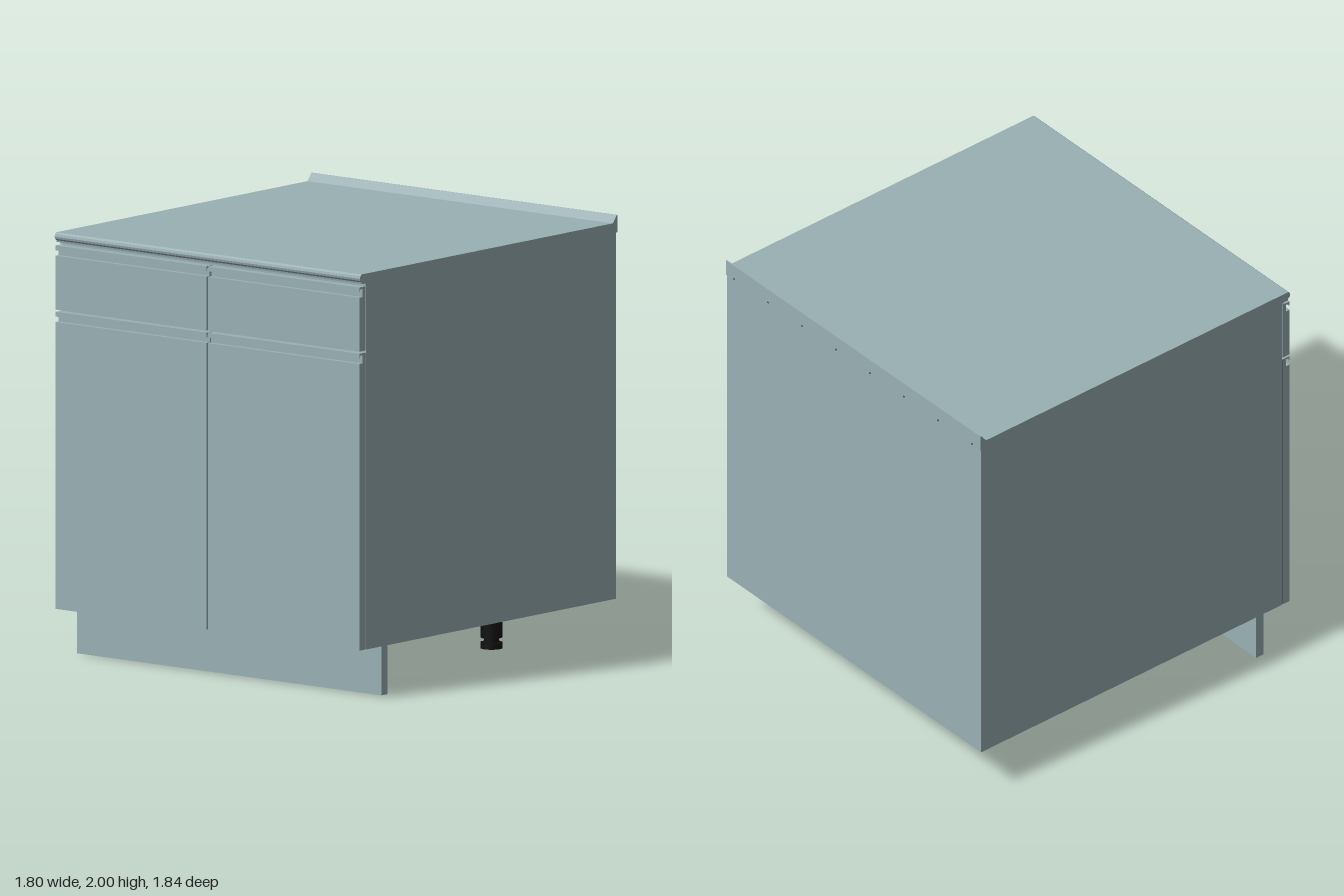
import * as THREE from 'three';

export function createModel() {
  const model = new THREE.Group();
  const steel = new THREE.MeshStandardMaterial({ name: 'blue grey steel', color: 0x9ab0b4 });
  const black = new THREE.MeshStandardMaterial({ name: 'black plastic', color: 0x111111 });
  const red = new THREE.MeshStandardMaterial({ name: 'dull red seal', color: 0x80565c });

  const add = (name, geometry, material, parent = model) => {
    const mesh = new THREE.Mesh(geometry, material);
    mesh.name = name;
    parent.add(mesh);
    return mesh;
  };

  const box = (name, x0, x1, y0, y1, z0, z1, material) =>
    add(name, new THREE.BoxGeometry(x1 - x0, y1 - y0, z1 - z0), material)
      .position.set((x0 + x1) / 2, (y0 + y1) / 2, (z0 + z1) / 2);

  // Sweep a side profile of [z, y] points across the width from x0 to x1
  const sweep = (name, profile, x0, x1) => {
    const shape = new THREE.Shape(profile.map(([z, y]) => new THREE.Vector2(z, y)));
    const geometry = new THREE.ExtrudeGeometry(shape, { depth: x1 - x0, bevelEnabled: false });
    geometry.rotateY(-Math.PI / 2).translate(x1, 0, 0);
    return add(name, geometry, steel);
  };

  // Cabinet body and the seal behind the doors
  box('cabinetBody', -0.897, 0.897, 0.23, 1.93, -0.915, 0.873, steel);
  box('doorSeal', -0.894, 0.894, 0.232, 1.598, 0.872, 0.879, red);

  // Worktop with a rounded nose and a chamfered upstand at the back
  sweep('worktop', [
    [-0.92, 1.92], [0.875, 1.92], [0.875, 1.91], [0.88, 1.91], [0.88, 1.92],
    [0.905, 1.92], [0.907, 1.928], [0.917, 1.936], [0.92, 1.946],
    [0.917, 1.957], [0.908, 1.965], [-0.888, 1.965], [-0.915, 2], [-0.92, 2],
  ], -0.9, 0.9);

  // Fronts with a finger groove and a hooked lip along the top
  const front = (name, x0, x1, y0, y1) => sweep(name, [
    [0.878, y0], [0.92, y0], [0.92, y1 - 0.047], [0.897, y1 - 0.047],
    [0.897, y1 - 0.01], [0.914, y1 - 0.01], [0.914, y1 - 0.022],
    [0.92, y1 - 0.022], [0.92, y1], [0.878, y1],
  ], x0, x1);

  for (const [side, s] of [['left', 1], ['right', -1]]) {
    const span = (inner) => [s * inner, s * 0.896].sort((a, b) => a - b);
    front(side + 'Door', ...span(0.003), 0.23, 1.6);
    front(side + 'Drawer', ...span(0.005), 1.61, 1.906);
  }
  // Drawer backs meeting the body
  box('drawerBacking', -0.893, 0.893, 1.612, 1.904, 0.872, 0.88, steel);

  // Plinth board
  box('plinth', -0.897, 0.897, 0.004, 0.23, 0.72, 0.763, steel);

  // Adjustable rear legs
  for (const [side, s] of [['left', 1], ['right', -1]]) {
    const leg = new THREE.Group();
    leg.name = side + 'Leg';
    leg.position.set(s * 0.45, 0, -0.565);
    for (const [name, r, y0, y1] of [
      ['legTube', 0.05, 0.05, 0.23], ['legNeck', 0.034, 0.025, 0.052], ['legFoot', 0.05, 0, 0.028],
    ]) {
      add(name, new THREE.CylinderGeometry(r, r, y1 - y0, 24), black, leg).position.y = (y0 + y1) / 2;
    }
    model.add(leg);
  }

  // Small fixing holes along the back
  for (let i = 0; i < 8; i++) {
    const hole = add('fixingHole', new THREE.CircleGeometry(0.005, 10), black);
    hole.rotation.y = Math.PI;
    hole.position.set(-0.84 + i * 0.24, 1.928, -0.921);
  }
  return model;
}
